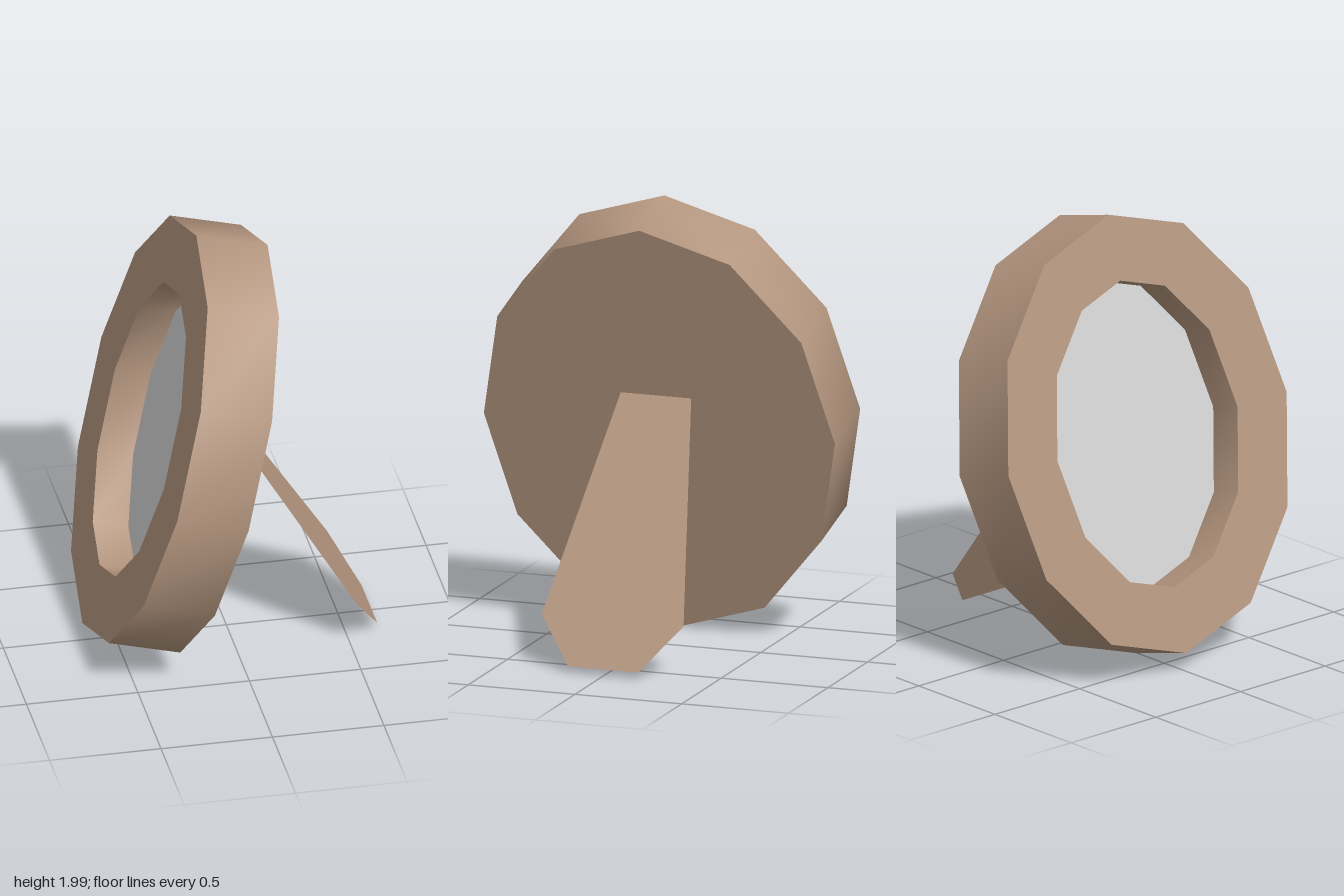
import * as THREE from 'three';

const SIDES = 12, HALF = 0.1655;

// Oval ring of [y, z] points
const oval = (ry, rz) => Array.from({ length: SIDES }, (_, i) => {
  const t = (i / SIDES) * Math.PI * 2;
  return [Math.cos(t) * ry, Math.sin(t) * rz];
});

// Move every edge of a ring inwards by d, with mitred corners
function inset(ring, d) {
  const normal = (i) => {
    const [a, b] = [ring[i % SIDES], ring[(i + 1) % SIDES]];
    const dy = b[0] - a[0], dz = b[1] - a[1], l = Math.hypot(dy, dz);
    return [dz / l, -dy / l];
  };
  return ring.map(([y, z], i) => {
    const m = normal(i + SIDES - 1), n = normal(i);
    const k = d / (1 + m[0] * n[0] + m[1] * n[1]);
    return [y - k * (m[0] + n[0]), z - k * (m[1] + n[1])];
  });
}

// Smooth band of quads between two rings
function band(name, ringA, xA, ringB, xB, material) {
  const pos = [], index = [];
  for (let i = 0; i < SIDES; i++) {
    pos.push(xA, ...ringA[i], xB, ...ringB[i]);
    const a = i * 2, n = ((i + 1) % SIDES) * 2;
    index.push(a, n, a + 1, a + 1, n, n + 1);
  }
  const g = new THREE.BufferGeometry();
  g.setAttribute('position', new THREE.Float32BufferAttribute(pos, 3));
  g.setIndex(index);
  g.computeVertexNormals();
  const mesh = new THREE.Mesh(g, material);
  mesh.name = name;
  return mesh;
}

export function createModel() {
  const wood = new THREE.MeshStandardMaterial({ name: 'brown frame', color: 0xb4967f, side: THREE.DoubleSide });
  const glass = new THREE.MeshStandardMaterial({ name: 'grey glass', color: 0xd2d2d2 });
  const model = new THREE.Group();
  model.name = 'standingFrame';

  // Oval frame, leaning back, with a recess half as deep as the frame
  const outer = oval(0.988, 0.822), inner = inset(outer, 0.283), centre = oval(0, 0);
  const frame = new THREE.Group();
  frame.name = 'frame';
  frame.add(
    band('outerWall', outer, -HALF, outer, HALF, wood),
    band('frontRim', inner, -HALF, outer, -HALF, wood),
    band('innerWall', inner, 0, inner, -HALF, wood),
    band('backPanel', outer, HALF, centre, HALF, wood),
    band('glass', centre, 0, inner, 0, glass),
  );
  frame.position.set(-0.23, 1.0025, 0);
  frame.rotation.z = -Math.PI / 12;
  model.add(frame);

  // Flat support leg, sloping from the back panel down to the ground
  const top = new THREE.Vector2(-0.027, 1.12), foot = new THREE.Vector2(0.642, 0.035);
  const length = top.distanceTo(foot), knee = length * 0.82;
  const leg = new THREE.Shape([
    [-0.165, 0], [-0.332, -knee], [-0.165, -length],
    [0.165, -length], [0.332, -knee], [0.165, 0],
  ].map(([x, y]) => new THREE.Vector2(x, y)));
  const geometry = new THREE.ShapeGeometry(leg);
  geometry.rotateY(Math.PI / 2);
  geometry.rotateZ(Math.atan2(foot.x - top.x, top.y - foot.y));
  const support = new THREE.Mesh(geometry, wood);
  support.name = 'supportLeg';
  support.position.set(top.x, top.y, 0);
  model.add(support);

  return model;
}
